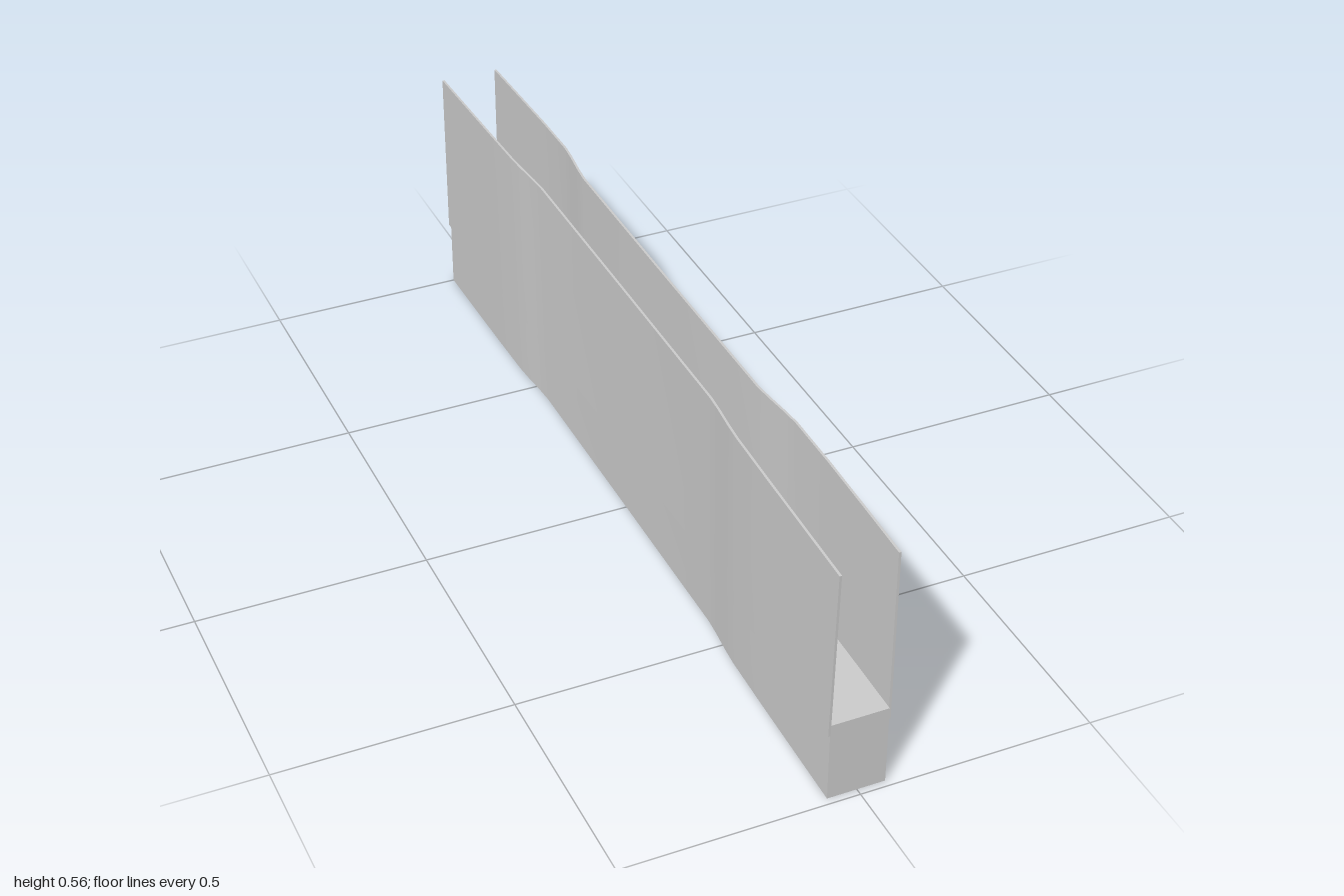
import * as THREE from 'three';
import { toCreasedNormals } from 'three/addons/utils/BufferGeometryUtils.js';

const material = new THREE.MeshStandardMaterial({ color: 0xcccccc });

// Stations along the length: wide ends, narrow waist
const half = [0.43, 0.47, 0.53, 0.57, 0.7, 0.85, 1];
const stations = [...half.map(z => -z).reverse(), 0, ...half];

const { smoothstep } = THREE.MathUtils;
const flare = z => 0.9 * smoothstep(Math.abs(z), 0.41, 0.59) + 0.1 * smoothstep(Math.abs(z), 0.55, 0.75);
const droop = z => THREE.MathUtils.clamp((Math.abs(z) - 0.6) / 0.4, 0, 1);
const leftFace = z => 0.043 + 0.017 * flare(z);
const rightFace = z => -0.05 - 0.013 * flare(z);

// Skin a row of four-cornered sections, counter-clockwise seen from the front
function loft(name, section) {
  const rings = stations.map(section);
  const n = 4;
  const index = [];
  for (let i = 0; i < rings.length - 1; i++) {
    for (let j = 0; j < n; j++) {
      const a = i * n + j, b = i * n + (j + 1) % n;
      index.push(a, b, b + n, a, b + n, a + n);
    }
  }
  const e = (rings.length - 1) * n;
  index.push(0, 2, 1, 0, 3, 2, e, e + 1, e + 2, e, e + 2, e + 3);
  const geometry = new THREE.BufferGeometry();
  geometry.setAttribute('position', new THREE.Float32BufferAttribute(rings.flat(2), 3));
  geometry.setIndex(index);
  const mesh = new THREE.Mesh(toCreasedNormals(geometry, 0.5), material);
  mesh.name = name;
  return mesh;
}

// Thin side wall between x0 and x1; its front edge may lean
function wall(name, x0, x1, bottom, frontLow, frontHigh) {
  return loft(name, z => {
    const low = z > 0.9 ? frontLow : z, high = z > 0.9 ? frontHigh : z;
    const top = 0.56 - 0.017 * droop(z);
    const base = bottom + 0.006 * (1 - droop(z));
    return [[x0(z), base, low], [x1(z), base, low], [x1(z), top, high], [x0(z), top, high]];
  });
}

export function createModel() {
  const group = new THREE.Group();
  group.name = 'channel';

  // Solid lower bar, its top forming the channel floor
  group.add(loft('baseBar', z => {
    const zz = Math.min(z, 0.985);
    const d = droop(z), bottom = 0.01 * (1 - d), top = 0.188 - 0.008 * d;
    const l = leftFace(z), r = rightFace(z);
    return [[r, bottom, zz], [l, bottom, zz], [l, top, zz], [r, top, zz]];
  }));

  // Two tall walls overlapping the sides of the bar
  group.add(wall('leftWall', leftFace, z => leftFace(z) + 0.005, 0.151, 0.982, 0.982));
  group.add(wall('rightWall', z => rightFace(z) - 0.005, rightFace, 0.157, 0.987, 1));
  return group;
}
